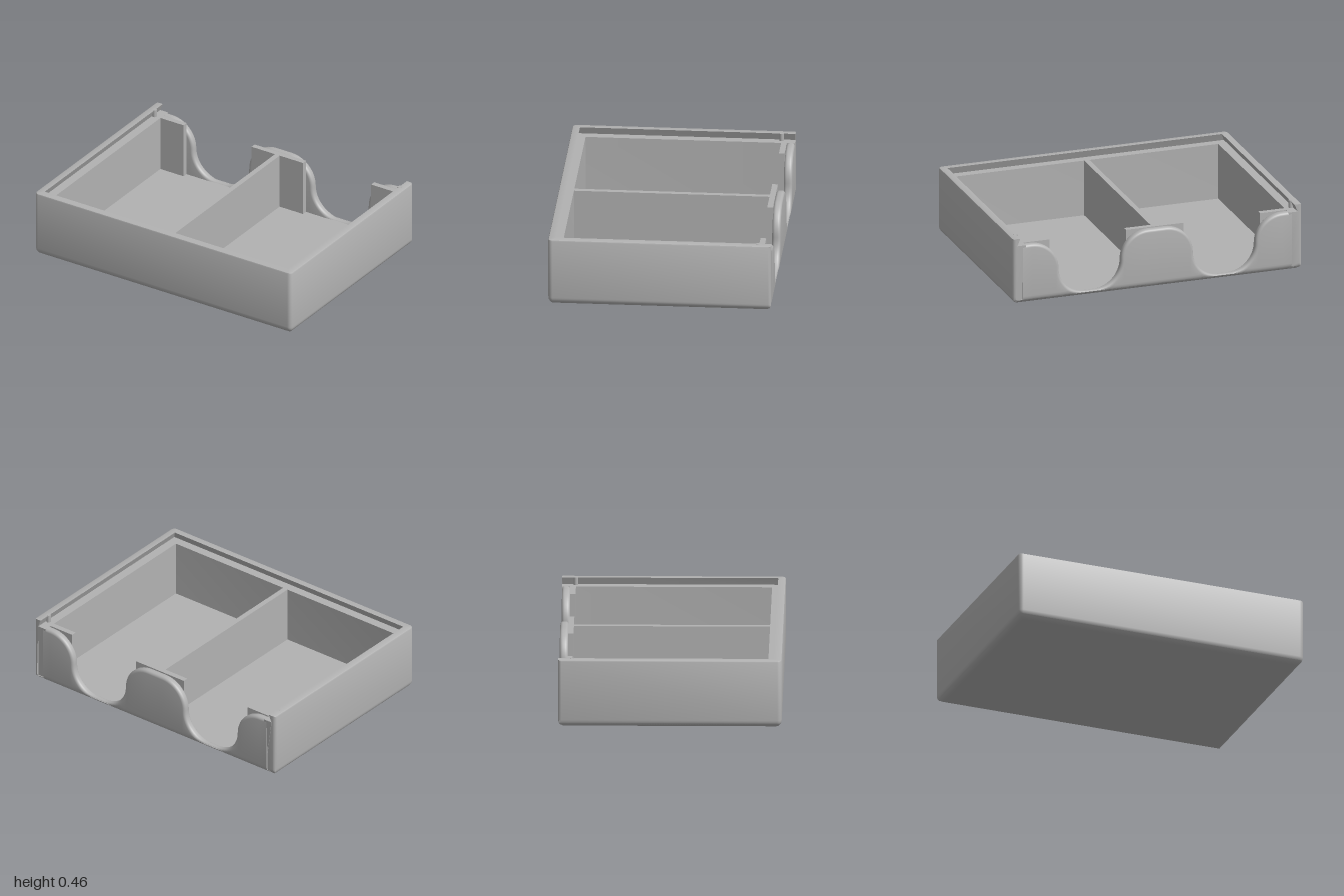
import * as THREE from 'three';
import { toCreasedNormals } from 'three/addons/utils/BufferGeometryUtils.js';

const HALF_D = 0.73, FLOOR = 0.025, LEDGE = 0.405, TOP = 0.455, FILLET = 0.05;

// how far the outer skin is drawn in at height y by the bottom rounding
const inset = (y) => (y >= FILLET ? 0 : FILLET - Math.sqrt(Math.max(0, FILLET ** 2 - (FILLET - y) ** 2)));

// skin a row of closed sections ([x, y, z] points) and cap both ends; flat axes (u, v) are used for the caps
function loft(sections, u, v) {
  const n = sections[0].length, last = sections.length - 1;
  const flat = (s) => s.map((p) => new THREE.Vector2(p[u], p[v]));
  if (THREE.ShapeUtils.isClockWise(flat(sections[0]))) sections = sections.map((s) => [...s].reverse());
  const tris = [];
  for (let k = 0; k < last; k++) {
    for (let j = 0; j < n; j++) {
      const m = (j + 1) % n, A = sections[k], B = sections[k + 1];
      tris.push([A[j], A[m], B[m]], [A[j], B[m], B[j]]);
    }
  }
  for (const [a, b, c] of THREE.ShapeUtils.triangulateShape(flat(sections[0]), [])) {
    const A = sections[0];
    tris.push([A[c], A[b], A[a]]);
  }
  const endFlat = flat(sections[last]);
  const endFlip = THREE.ShapeUtils.isClockWise(endFlat);
  for (const [a, b, c] of THREE.ShapeUtils.triangulateShape(endFlat, [])) {
    const B = sections[last];
    tris.push(endFlip ? [B[c], B[b], B[a]] : [B[a], B[b], B[c]]);
  }
  // turn everything outward if the enclosed volume is negative
  let volume = 0;
  for (const [a, b, c] of tris) {
    volume += a[0] * (b[1] * c[2] - b[2] * c[1]) + a[1] * (b[2] * c[0] - b[0] * c[2]) + a[2] * (b[0] * c[1] - b[1] * c[0]);
  }
  if (volume < 0) tris.forEach((t) => t.reverse());
  const g = new THREE.BufferGeometry();
  g.setAttribute('position', new THREE.Float32BufferAttribute(tris.flat(2), 3));
  g.scale(100, 100, 100); // crease detection works on a coarse grid
  return toCreasedNormals(g, 0.6).scale(0.01, 0.01, 0.01);
}

// floor slab: rounded rectangles following the bottom rounding
function floorGeometry() {
  const sections = [0, 0.0008, 0.003, 0.0075, 0.015, FLOOR].map((y) => {
    const d = inset(y), r = Math.max(0.03 - d, 0.003), ring = [];
    for (let q = 0; q < 4; q++) {
      const sx = q === 0 || q === 3 ? 1 : -1, sz = q < 2 ? 1 : -1;
      for (let i = 0; i <= 6; i++) {
        const a = ((q + i / 6) * Math.PI) / 2;
        ring.push([sx * (1 - d - r) + r * Math.cos(a), y, sz * (HALF_D - d - r) + r * Math.sin(a)]);
      }
    }
    return ring;
  });
  return loft(sections, 0, 2);
}

// left, front and right walls: one rim profile with an undercut lid slot, swept round a U
function wallGeometry() {
  const profile = [[0.09, 0.015], [0.09, LEDGE], [0.03, LEDGE], [0.05, TOP], [0.01, TOP], [0.003, 0.452], [0, 0.445]];
  for (const y of [0.05, 0.04, 0.032, FLOOR, 0.015]) profile.push([inset(y), y]);
  const backZ = [-HALF_D, -0.728, -0.722, -0.71];
  const side = (s) => {
    const rows = backZ.map((z0) => profile.map(([d, y]) => {
      const z = Math.max(z0, -(HALF_D - inset(y)));
      const t = Math.max(0, -z0 - 0.71), round = 0.02 - Math.sqrt(Math.max(0, 0.0004 - t * t));
      return [s * Math.min(1 - d, 1 - round), y, z];
    }));
    for (let i = 0; i <= 6; i++) {
      const a = (i / 6) * Math.PI / 2;
      rows.push(profile.map(([d, y]) => {
        const r = Math.max(0.03 - d, 0.001);
        return [s * (1 - d - r + r * Math.cos(a)), y, HALF_D - d - r + r * Math.sin(a)];
      }));
    }
    return rows;
  };
  return loft([...side(-1), ...side(1).reverse()], 0, 1);
}

// back wall: follows an S-curved top edge with two deep finger openings, edge rounded on both faces
function backWallGeometry() {
  const edge = [[-0.93, LEDGE, 0, 1]];
  const R1 = 0.19, R2 = 0.185, N = 14;
  for (const c of [-0.465, 0.465]) {
    const half = [];
    for (let i = 0; i <= N; i++) {
      const a = (i / N) * Math.PI / 2, s = Math.sin(a), k = Math.cos(a);
      half.push([-0.405 + R1 * s, LEDGE - R1 + R1 * k, s, k]);
    }
    for (let i = 1; i <= N; i++) {
      const a = (i / N) * Math.PI / 2, s = Math.sin(a), k = Math.cos(a);
      half.push([-0.03 - R2 * k, LEDGE - R1 - R2 * s, k, s]);
    }
    const mirrored = half.map(([x, y, nx, ny]) => [-x, y, -nx, ny]).reverse();
    for (const [x, y, nx, ny] of [...half, ...mirrored]) edge.push([x + c, y, nx, ny]);
  }
  edge.push([0.93, LEDGE, 0, 1]);

  const b = 0.02, inner = -0.675;
  const sections = edge.map(([x, y, nx, ny]) => {
    const bx = x - nx * b, by = y - ny * b, pts = [];
    for (const h of [0.005, 0.015, 0.025, 0.037, 0.05]) {
      const hy = Math.min(h, by);
      pts.push([bx, hy, -HALF_D + inset(hy)]);
    }
    const bevel = (i, z, dir) => {
      const a = (i / 5) * Math.PI / 2, o = b * (1 - Math.sin(a)), py = y - ny * o;
      return [x - nx * o, py, z + dir * b * (1 - Math.cos(a)) + (dir > 0 ? inset(py) * 0.5 * (1 + Math.cos(a)) : 0)];
    };
    for (let i = 0; i <= 5; i++) pts.push(bevel(i, -HALF_D, 1));
    for (let i = 5; i >= 0; i--) pts.push(bevel(i, inner, -1));
    pts.push([bx, 0.005, inner]);
    return pts;
  });
  return loft(sections, 2, 1);
}

export function createModel() {
  const model = new THREE.Group();
  model.name = 'twoCompartmentTray';
  const grey = new THREE.MeshStandardMaterial({ color: 0xb2b2b2 });
  grey.name = 'greyPlastic';

  const add = (name, geometry) => {
    const mesh = new THREE.Mesh(geometry, grey);
    mesh.name = name;
    model.add(mesh);
    return mesh;
  };
  // box given by its limits in x and z, standing in the floor
  const block = (name, x0, x1, z0, z1) => {
    const bottom = 0.015;
    add(name, new THREE.BoxGeometry(x1 - x0, LEDGE - bottom, z1 - z0))
      .position.set((x0 + x1) / 2, (LEDGE + bottom) / 2, (z0 + z1) / 2);
  };

  add('floor', floorGeometry());
  add('sideAndFrontWalls', wallGeometry());
  add('backWall', backWallGeometry());

  block('divider', -0.018, 0.018, -0.65, 0.65);
  // retaining plates just inside the back wall
  block('middleRetainer', -0.2, 0.2, -0.677, -0.64);
  block('rightRetainer', -0.92, -0.73, -0.677, -0.64);
  block('leftRetainer', 0.73, 0.92, -0.677, -0.64);

  // small lid catches in the slot
  for (const s of [-1, 1]) {
    add(s < 0 ? 'rightLidCatch' : 'leftLidCatch', new THREE.CylinderGeometry(0.015, 0.015, 0.055, 20))
      .position.set(s * 0.955, 0.4285, -0.64);
  }
  return model;
}
